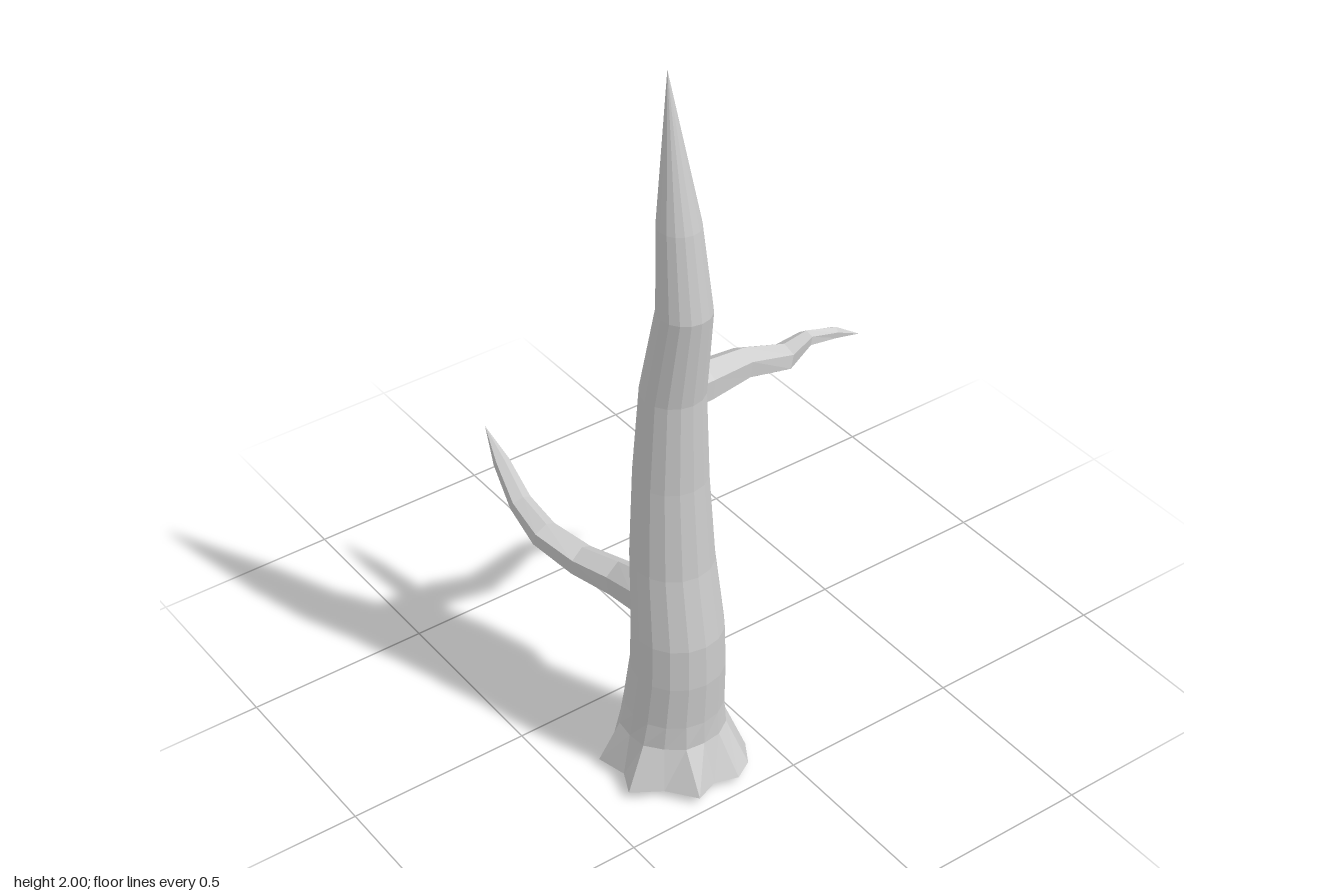
import * as THREE from 'three';

const V = (x, y, z) => new THREE.Vector3(x, y, z);
const SIDES = 16;

// Skin a list of closed rings (equal point counts) into one faceted surface.
function loft(name, rings) {
  const n = rings[0].length, pos = [], index = [];
  rings.forEach(r => r.forEach(p => pos.push(p.x, p.y, p.z)));
  for (let k = 0; k < rings.length - 1; k++) {
    for (let i = 0; i < n; i++) {
      const j = (i + 1) % n, a = k * n, b = a + n;
      index.push(a + i, b + i, a + j, a + j, b + i, b + j);
    }
  }
  const geo = new THREE.BufferGeometry();
  geo.setAttribute('position', new THREE.Float32BufferAttribute(pos, 3));
  geo.setIndex(index);
  geo.computeVertexNormals();
  const mesh = new THREE.Mesh(geo, new THREE.MeshStandardMaterial({
    color: 0xcccccc, flatShading: true, side: THREE.DoubleSide,
  }));
  mesh.name = name;
  return mesh;
}

// Horizontal ring of the trunk.
function level(x, y, r) {
  return Array.from({ length: SIDES }, (_, i) => {
    const a = i / SIDES * Math.PI * 2;
    return V(x + r * Math.cos(a), y, 0.22 + r * Math.sin(a));
  });
}

// Tapered limb along [x, y, z, radius] stations.
function branch(name, stations, sides = 6) {
  const pts = stations.map(s => V(s[0], s[1], s[2]));
  const rings = stations.map((s, k) => {
    const t = pts[Math.min(k + 1, pts.length - 1)].clone().sub(pts[Math.max(k - 1, 0)]).normalize();
    const u = V().crossVectors(t, V(0, 1, 0)).normalize();
    const v = V().crossVectors(u, t);
    return Array.from({ length: sides }, (_, i) => {
      const a = (i + 0.5) / sides * Math.PI * 2;
      return pts[k].clone().addScaledVector(u, s[3] * Math.cos(a)).addScaledVector(v, s[3] * Math.sin(a));
    });
  });
  return loft(name, rings);
}

export function createModel() {
  const group = new THREE.Group();
  group.name = 'deadTree';

  // Jagged outline of the root flare, x and z
  const outline = [
    [0.45, 0.214], [0.474, 0.278], [0.40, 0.334], [0.352, 0.41],
    [0.288, 0.38], [0.207, 0.40], [0.17, 0.334], [0.128, 0.286],
    [0.13, 0.22], [0.084, 0.133], [0.17, 0.10], [0.214, 0.043],
    [0.28, 0.035], [0.38, 0.064], [0.44, 0.10], [0.47, 0.153],
  ];
  const edge = outline.map(([x, z]) => V(x, 0.02, z));
  const lip = outline.map(([x, z]) => V(0.28 + (x - 0.28) * 0.87, 0, 0.22 + (z - 0.22) * 0.87));
  const neck = level(0.277, 0.13, 0.13).map((p, i) => p.lerp(V(edge[i].x, 0.13, edge[i].z), 0.12));

  // Root flare: hollow underside, lip, then outer wall up to the trunk
  group.add(loft('rootFlare', [
    level(0.28, 0.14, 0), level(0.28, 0.12, 0.115), lip, edge, neck, level(0.285, 0.2, 0.128),
  ]));

  // Trunk with a bent, pointed top: [x, y, radius]
  group.add(loft('trunk', [
    [0.285, 0.2, 0.128], [0.3, 0.33, 0.121], [0.3, 0.45, 0.118], [0.278, 0.65, 0.107],
    [0.272, 0.9, 0.094], [0.281, 1.15, 0.081], [0.327, 1.4, 0.068], [0.306, 1.62, 0.054],
    [0.262, 2, 0],
  ].map(s => level(...s))));

  // Lower branch reaching to the side
  group.add(branch('lowerBranch', [
    [0.25, 0.465, 0.215, 0.062], [0.17, 0.45, 0.215, 0.058], [0.04, 0.412, 0.21, 0.051],
    [-0.09, 0.403, 0.243, 0.044], [-0.2, 0.437, 0.283, 0.039], [-0.31, 0.468, 0.281, 0.031],
    [-0.4, 0.545, 0.278, 0.022], [-0.474, 0.615, 0.277, 0],
  ]));

  // Upper branch reaching to the back
  group.add(branch('upperBranch', [
    [0.288, 1.145, 0.2, 0.055], [0.287, 1.145, 0.14, 0.053], [0.273, 1.135, 0.01, 0.042],
    [0.284, 1.11, -0.1, 0.036], [0.177, 1.04, -0.258, 0.022], [0.186, 1.028, -0.345, 0.016],
    [0.2, 1.005, -0.412, 0],
  ]));

  return group;
}
